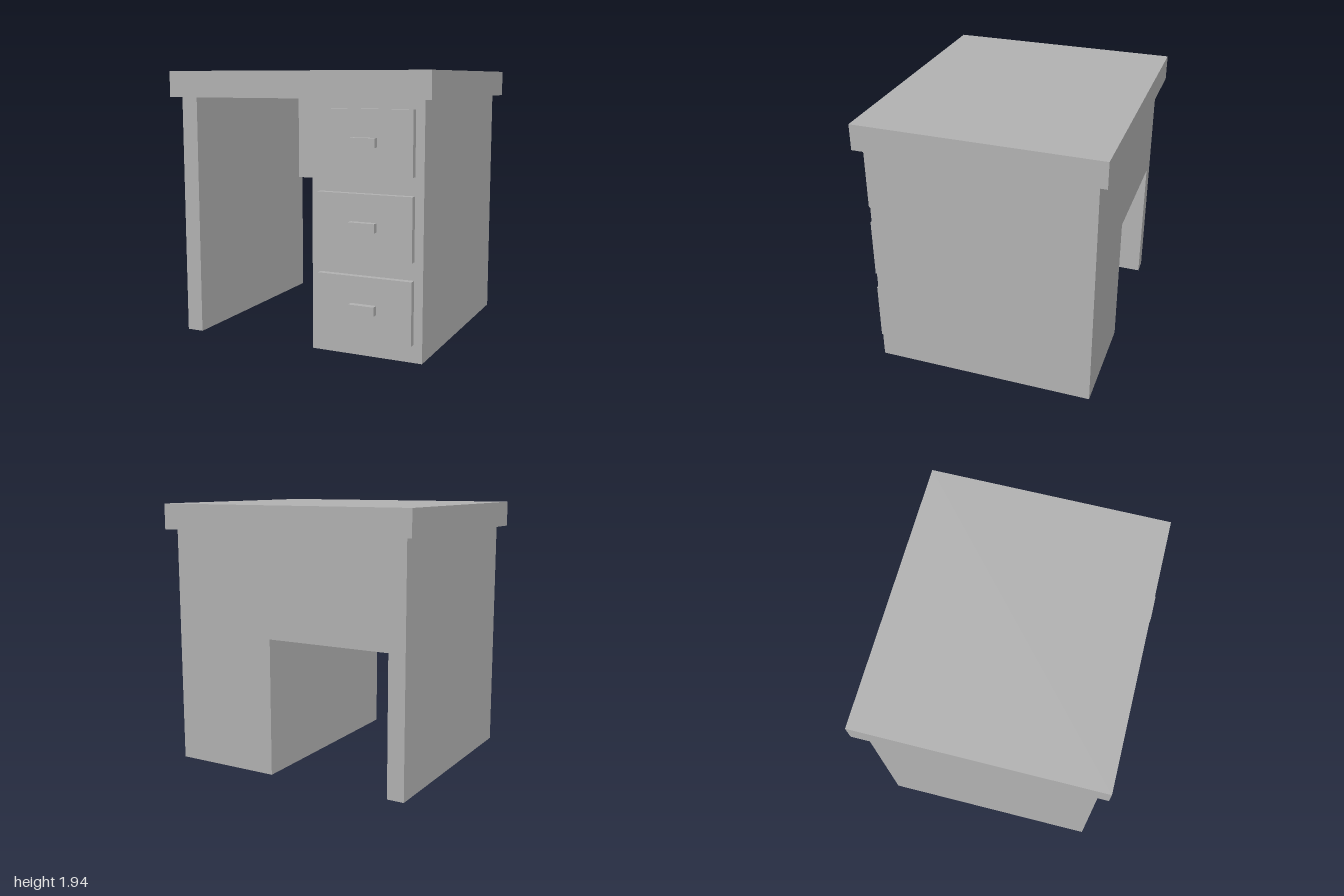
import * as THREE from 'three';

export function createModel() {
  const desk = new THREE.Group();
  desk.name = 'desk';
  const gray = new THREE.MeshStandardMaterial({ color: 0xb2b2b2 });
  gray.name = 'plain gray';

  // Box given by its lower and upper limits on each axis
  function box(name, [x0, x1], [y0, y1], [z0, z1], parent = desk) {
    const mesh = new THREE.Mesh(new THREE.BoxGeometry(x1 - x0, y1 - y0, z1 - z0), gray);
    mesh.position.set((x0 + x1) / 2, (y0 + y1) / 2, (z0 + z1) / 2);
    mesh.name = name;
    parent.add(mesh);
  }

  const back = -0.828, front = 0.797, underTop = 1.75;

  // Main carcass
  box('desktop', [-1, 1], [underTop, 1.9375], [-0.891, 0.859]);
  box('sideLeg', [-0.9375, -0.8125], [0, underTop], [back, front]);
  box('drawerCabinet', [0.125, 0.9375], [0, underTop], [back, front]);
  box('backPanel', [-0.8125, 0.125], [1, underTop], [back, back + 0.0625]);

  // Three drawers, each a raised front with a bar handle
  for (let i = 0; i < 3; i++) {
    const y = 0.125 + i * 0.5625;
    const drawer = new THREE.Group();
    drawer.name = `drawer${i + 1}`;
    box('drawerFront', [0.1875, 0.875], [y, y + 0.4375], [front, 0.844], drawer);
    box('drawerHandle', [0.4375, 0.625], [y + 0.1875, y + 0.25], [0.844, 0.891], drawer);
    desk.add(drawer);
  }
  return desk;
}
